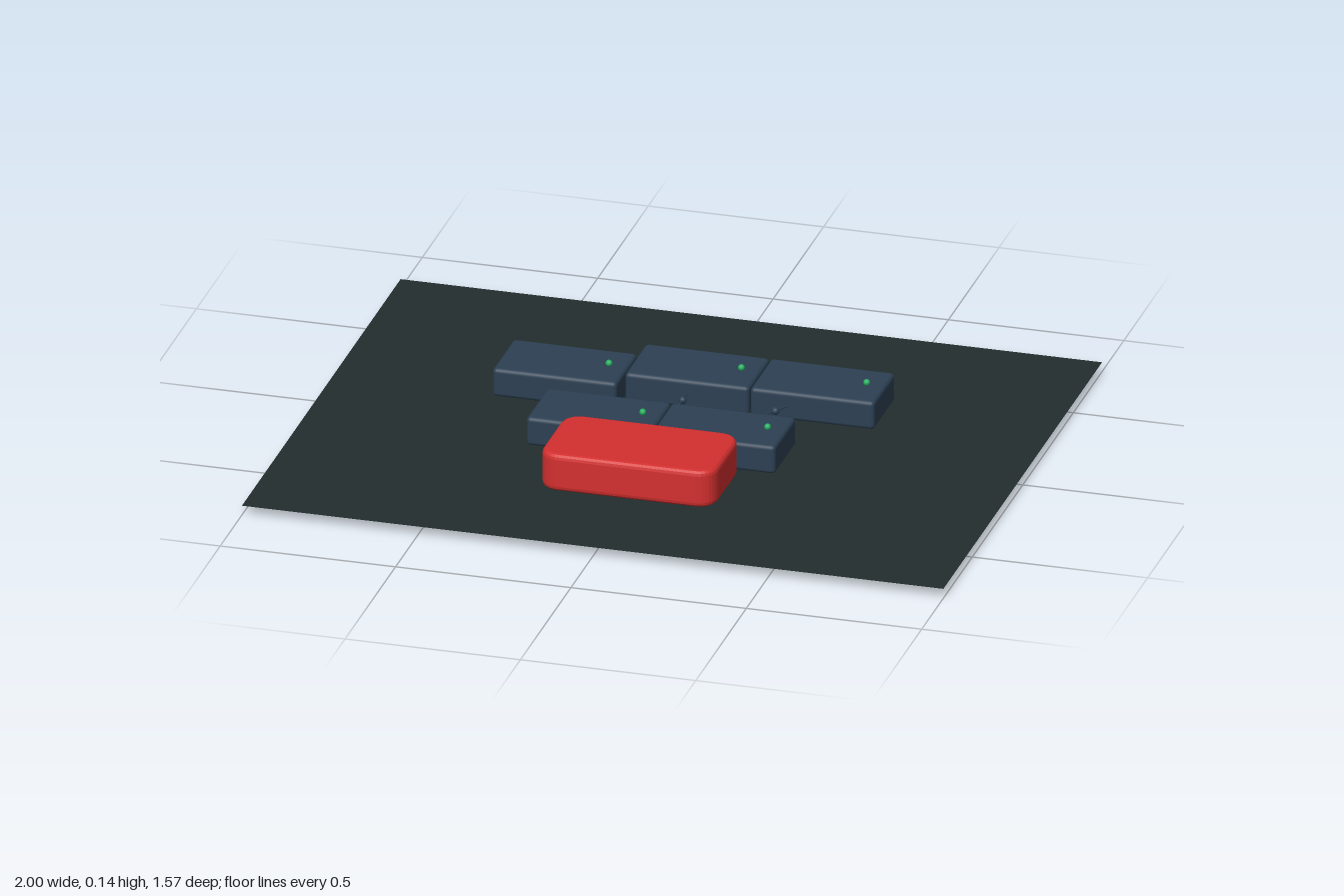
import * as THREE from 'three';
import { RoundedBoxGeometry } from 'three/addons/geometries/RoundedBoxGeometry.js';

const material = (name, color, side = THREE.FrontSide) =>
  new THREE.MeshStandardMaterial({ name, color, side });

export function createModel() {
  const group = new THREE.Group();
  const ground = material('dark slate', 0x222d2d, THREE.DoubleSide);
  const blue = material('steel blue', 0x2c4053);
  const red = material('red', 0xd32f2f);
  const green = material('green', 0x27ae60);

  const add = (name, geometry, mat, x, y, z) => {
    const mesh = new THREE.Mesh(geometry, mat);
    mesh.name = name;
    mesh.position.set(x, y, z);
    group.add(mesh);
    return mesh;
  };

  // Base slab with a wider thin sheet on top
  add('baseSlab', new THREE.BoxGeometry(1.715, 0.027, 1.286), ground, 0, 0.0135, 0);
  add('groundSheet', new THREE.PlaneGeometry(2, 1.57).rotateX(-Math.PI / 2), ground, 0, 0.028, 0);

  // Five blue blocks, each with a small green light
  const blockGeometry = new RoundedBoxGeometry(0.354, 0.084, 0.211, 3, 0.012);
  const lightGeometry = new THREE.SphereGeometry(0.0095, 16, 12);
  const blocks = [[-0.357, -0.178], [0, -0.25], [0.357, -0.25], [-0.178, 0.109], [0.178, 0.109]];
  for (const [x, z] of blocks) {
    add('block', blockGeometry, blue, x, 0.084, z);
    add('statusLight', lightGeometry, green, x + 0.126, 0.135, z);
  }

  // Large red block: rounded plan with a soft bevel
  const bevel = 0.015, w = 0.25 - bevel, d = 0.14 - bevel, r = 0.045;
  const plan = new THREE.Shape();
  plan.moveTo(-w + r, -d);
  plan.lineTo(w - r, -d);
  plan.quadraticCurveTo(w, -d, w, -d + r);
  plan.lineTo(w, d - r);
  plan.quadraticCurveTo(w, d, w - r, d);
  plan.lineTo(-w + r, d);
  plan.quadraticCurveTo(-w, d, -w, d - r);
  plan.lineTo(-w, -d + r);
  plan.quadraticCurveTo(-w, -d, -w + r, -d);
  const redGeometry = new THREE.ExtrudeGeometry(plan, {
    depth: 0.11 - 2 * bevel, bevelThickness: bevel, bevelSize: bevel, bevelSegments: 3, curveSegments: 8,
  });
  redGeometry.rotateX(-Math.PI / 2);
  add('redBlock', redGeometry, red, 0, 0.03 + bevel, 0.322);

  // Thin links between the two rows, each carrying a bead
  const beadGeometry = new THREE.SphereGeometry(0.011, 16, 12);
  const links = [
    { from: [-0.3, -0.1], to: [-0.237, 0.01], bead: [-0.271, -0.05] },
    { from: [0, -0.15], to: [0, 0.01], bead: [0, -0.106] },
    { from: [0.289, -0.15], to: [0.195, 0.01], bead: [0.264, -0.107] },
  ];
  for (const { from, to, bead } of links) {
    const a = new THREE.Vector3(from[0], 0.084, from[1]);
    const b = new THREE.Vector3(to[0], 0.084, to[1]);
    const mid = a.clone().add(b).multiplyScalar(0.5);
    const rod = add('linkRod', new THREE.CylinderGeometry(0.0025, 0.0025, a.distanceTo(b), 8), blue, mid.x, mid.y, mid.z);
    rod.quaternion.setFromUnitVectors(new THREE.Vector3(0, 1, 0), b.sub(a).normalize());
    add('linkBead', beadGeometry, blue, bead[0], 0.084, bead[1]);
  }
  return group;
}
